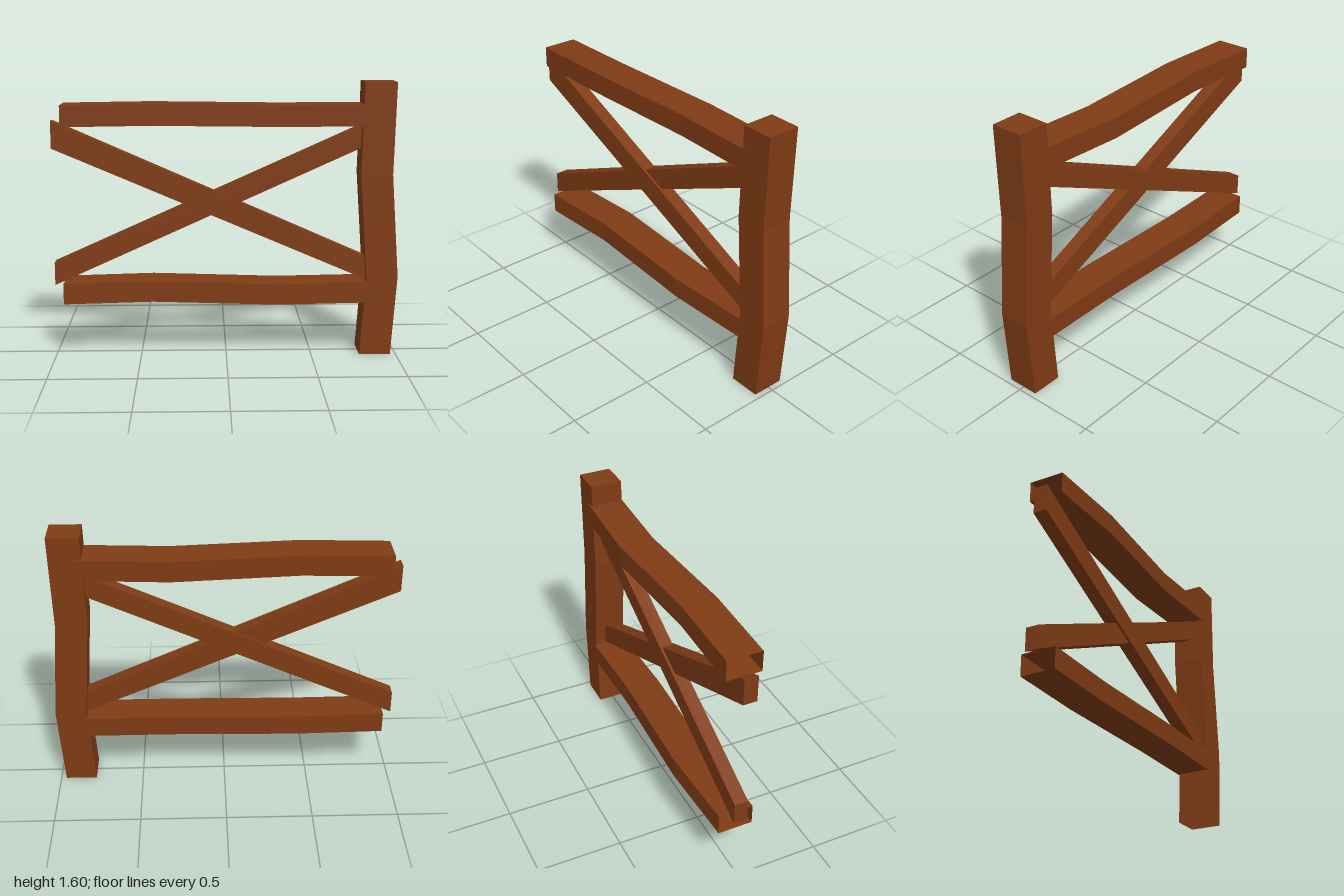
import * as THREE from 'three';

const wood = new THREE.MeshStandardMaterial({ color: 0x7f3b15, flatShading: true, side: THREE.DoubleSide });

// Beam lofted through four-cornered sections, with optional end caps
function beam(name, sections, capStart, capEnd) {
  const pos = [];
  const quad = (a, b, c, d) => pos.push(...a, ...b, ...c, ...a, ...c, ...d);
  for (let i = 0; i < sections.length - 1; i++) {
    const s = sections[i], t = sections[i + 1];
    for (let k = 0; k < 4; k++) {
      const n = (k + 1) % 4;
      quad(s[k], s[n], t[n], t[k]);
    }
  }
  if (capStart) quad(...[...sections[0]].reverse());
  if (capEnd) quad(...sections[sections.length - 1]);
  const geo = new THREE.BufferGeometry();
  geo.setAttribute('position', new THREE.Float32BufferAttribute(pos, 3));
  geo.computeVertexNormals();
  const mesh = new THREE.Mesh(geo, wood);
  mesh.name = name;
  return mesh;
}

// Section across x, and section across y
const acrossX = (x, y0, y1, z0, z1) => [[x, y0, z0], [x, y1, z0], [x, y1, z1], [x, y0, z1]];
const acrossY = (y, x0, x1, z0, z1) => [[x0, y, z0], [x0, y, z1], [x1, y, z1], [x1, y, z0]];

export function createModel() {
  const fence = new THREE.Group();
  fence.name = 'fenceSection';

  // Slightly crooked post, open underneath
  const postPath = [[0, 0.785], [0.47, 0.817], [1.07, 0.773], [1.6, 0.785]];
  fence.add(beam('post', postPath.map(([y, x]) => acrossY(y, x, x + 0.183, -0.09, 0.1)), false, true));

  // Wavy hollow-ended rails: x, bottom y, back z, front z
  const upper = [[-0.94, 1.35, -0.095, 0.11], [-0.43, 1.358, -0.087, 0.12], [0.3, 1.346, -0.125, 0.085], [0.82, 1.35, -0.1, 0.107]];
  const lower = [[-0.945, 0.317, -0.1, 0.105], [-0.43, 0.325, -0.125, 0.085], [0.3, 0.311, -0.09, 0.117], [0.82, 0.317, -0.1, 0.105]];
  for (const [name, path] of [['upperRail', upper], ['lowerRail', lower]]) {
    fence.add(beam(name, path.map(([x, y, z0, z1]) => acrossX(x, y, y + 0.122, z0, z1)), false, false));
  }

  // Crossed diagonal braces, running into the post
  fence.add(beam('fallingBrace', [
    acrossX(-1, 1.222, 1.38, -0.025, 0.055),
    acrossX(0.86, 0.428, 0.56, -0.025, 0.055),
  ], true, true));
  fence.add(beam('risingBrace', [
    acrossX(-1, 0.417, 0.55, -0.04, 0.04),
    acrossX(0.86, 1.256, 1.386, -0.04, 0.04),
  ], true, true));

  return fence;
}
